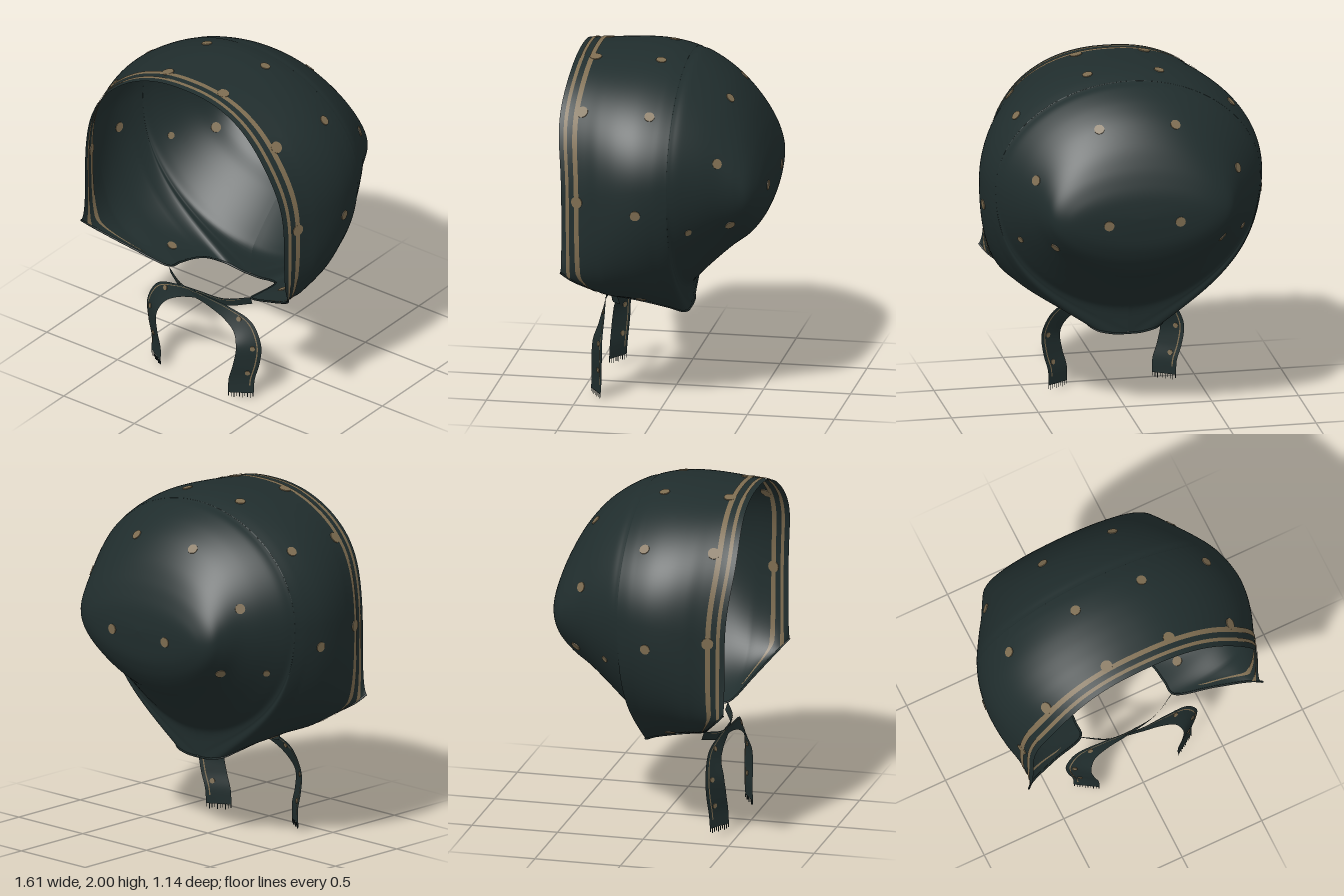
import * as THREE from 'three';

const cloth = new THREE.MeshStandardMaterial({ color: 0x202d2d, side: THREE.DoubleSide });
cloth.name = 'dark green cloth';
const gold = new THREE.MeshStandardMaterial({ color: 0x7d6c50, side: THREE.DoubleSide });
gold.name = 'dull gold print';

// Hood sections, front to back: z, half width, widest height, top, hem x, hem y, rise beside the hem
const ROWS = [
  [0.53, 0.705, 1.2, 1.98, 0.735, 0.85, 0.03],
  [0.47, 0.722, 1.22, 1.985, 0.67, 0.785, 0.02],
  [0.38, 0.75, 1.27, 1.99, 0.49, 0.685, 0.04],
  [0.3, 0.778, 1.3, 1.995, 0.3, 0.6, 0.08],
  [0.2, 0.8, 1.33, 2.0, 0.28, 0.58, 0.1],
  [0.1, 0.805, 1.35, 2.0, 0.27, 0.56, 0.11],
  [0, 0.79, 1.36, 1.99, 0.24, 0.53, 0.15],
  [-0.075, 0.766, 1.37, 1.97, 0.16, 0.485, 0.22],
  [-0.085, 0.762, 1.37, 1.965, 0, 0.475, 0.21],
  [-0.1, 0.755, 1.37, 1.96, 0, 0.61, 0.04],
  [-0.15, 0.73, 1.37, 1.945, 0, 0.68, 0],
  [-0.25, 0.67, 1.36, 1.89, 0, 0.78, 0],
  [-0.35, 0.605, 1.35, 1.81, 0, 0.87, 0],
  [-0.44, 0.555, 1.33, 1.7, 0, 0.94, 0],
  [-0.5, 0.515, 1.31, 1.59, 0, 1.015, 0],
  [-0.535, 0.45, 1.3, 1.5, 0, 1.08, 0],
  [-0.555, 0.36, 1.3, 1.43, 0, 1.14, 0],
  [-0.565, 0.2, 1.3, 1.36, 0, 1.22, 0],
  [-0.57, 0, 1.3, 1.3, 0, 1.3, 0],
];
const LAST = ROWS.length - 1;

function section(u) {
  const i = Math.min(Math.floor(u), LAST - 1), t = u - i;
  const row = (k) => ROWS[Math.max(0, Math.min(LAST, k))];
  return ROWS[0].map((_, c) => {
    const [a, b, d, e] = [row(i - 1)[c], row(i)[c], row(i + 1)[c], row(i + 2)[c]];
    const m = (d - a) / 2, n = (e - b) / 2;
    return b + m * t + (3 * (d - b) - 2 * m - n) * t * t + (2 * (b - d) + m + n) * t * t * t;
  });
}

// Point on the hood: u runs front to back, v from the left hem over the top to the right hem
function hood(u, v) {
  const [z, w, yc, top, hemX, ey, rise] = section(u);
  const ex = Math.max(0, hemX);
  const s = 1 - Math.abs(2 * v - 1), side = v < 0.5 ? 1 : -1;
  let x, y;
  if (s < 0.45) {
    // Wall turning under to the hem, fuller towards the front
    const t = s / 0.45, q = 1 - t;
    const full = THREE.MathUtils.clamp(z / 0.3, 0, 1);
    const bez = (a, b, c, d) => q * q * q * a + 3 * q * q * t * b + 3 * q * t * t * c + t * t * t * d;
    x = bez(ex, ex + (0.5 + 0.2 * full) * (w - ex), w, w);
    y = bez(ey, ey + rise, yc - (0.55 + 0.2 * full) * (yc - ey), yc);
  } else {
    const a = ((s - 0.45) / 0.55) * Math.PI / 2;
    const p = 2 / (2 + 0.3 * Math.max(0, z / 0.53));
    x = w * Math.pow(Math.max(0, Math.cos(a)), p);
    y = yc + (top - yc) * Math.pow(Math.sin(a), p);
  }
  const bulge = 0.035 * Math.exp(-(((y - 1.72) / 0.25) ** 2)) * Math.max(0, z / 0.53);
  return new THREE.Vector3(side * x, y, z + bulge);
}

// Surface normal of any two-parameter function
function normalOf(fn, a, b, e) {
  const da = fn(a + e, b).sub(fn(a - e, b)), db = fn(a, b + e).sub(fn(a, b - e));
  return da.cross(db).normalize();
}
const hoodNormal = (u, v) => normalOf(hood, THREE.MathUtils.clamp(u, 0.01, LAST - 0.01), v, 0.004);

// Smooth sheet from a function of (a, b), both 0 to 1
function sheet(fn, na, nb) {
  const pos = [], idx = [];
  for (let i = 0; i <= na; i++) for (let j = 0; j <= nb; j++) pos.push(...fn(i / na, j / nb).toArray());
  for (let i = 0; i < na; i++) for (let j = 0; j < nb; j++) {
    const p = i * (nb + 1) + j, q = p + nb + 1;
    idx.push(p, q, p + 1, q, q + 1, p + 1);
  }
  const g = new THREE.BufferGeometry();
  g.setAttribute('position', new THREE.Float32BufferAttribute(pos, 3));
  g.setIndex(idx);
  g.computeVertexNormals();
  return g;
}

export function createModel() {
  const model = new THREE.Group();
  model.name = 'bonnet';
  const add = (name, geo, mat) => {
    const m = new THREE.Mesh(geo, mat);
    m.name = name;
    model.add(m);
    return m;
  };
  const lerp = THREE.MathUtils.lerp;

  add('hood', sheet((a, b) => hood(a * LAST, b), LAST * 6, 140), cloth);

  // Piping along the lower edge and around the neck
  const edge = [];
  for (let u = 0; u < 8; u += 0.25) edge.push(hood(u, 0));
  const loop = edge.concat(edge.slice().reverse().map((p) => new THREE.Vector3(-p.x, p.y, p.z)));
  add('hemPiping', new THREE.TubeGeometry(new THREE.CatmullRomCurve3(loop), 160, 0.006, 6), cloth);

  // Printed bands on both faces of the cloth; bend sweeps the ends back along the hem
  const band = (name, u0, u1, margin, bend) => {
    for (const off of [0.004, -0.004]) {
      add(name, sheet((a, b) => {
        const v = lerp(margin, 1 - margin, b), s = 1 - Math.abs(2 * v - 1);
        const u = lerp(u0, u1, a) + bend * Math.max(0, 1 - s / 0.2) ** 2;
        return hood(u, v).addScaledVector(hoodNormal(u, v), off);
      }, 2, 160), gold);
    }
  };
  band('outerBand', 0.56, 0.84, 0.015, 0);
  band('innerBand', 1.23, 1.53, 0.025, 2.2);

  // Dots, each a thin disc seen from inside and outside
  const dot = (p, n, r) => {
    const d = add('dot', new THREE.CylinderGeometry(r, r, 0.009, 16), gold);
    d.position.copy(p);
    d.quaternion.setFromUnitVectors(new THREE.Vector3(0, 1, 0), n);
  };
  const spots = [
    [0.22, 1.81, -0.37], [0.21, 1.27, -0.57], [0.59, 1.5, -0.34], [0.5, 1.1, -0.41],
    [0.67, 1.09, -0.2, 0.02], [0.65, 1.78, 0.03], [0.21, 2.0, 0.045], [0.8, 1.23, 0.09],
    [0.2, 1.99, 0.425, 0.034], [0.59, 1.77, 0.435, 0.034], [0.72, 1.26, 0.43, 0.034], [0.38, 0.64, 0.13, 0.028],
  ];
  for (const [x, y, z, r = 0.029] of spots) {
    const target = new THREE.Vector3(x, y, z);
    let best = 9, bu = 0, bv = 0;
    for (let u = 0.1; u < LAST - 0.05; u += 0.1) for (let v = 0.01; v < 0.5; v += 0.005) {
      const d = hood(u, v).distanceTo(target);
      if (d < best) [best, bu, bv] = [d, u, v];
    }
    for (const v of [bv, 1 - bv]) dot(hood(bu, v), hoodNormal(bu, v), r);
  }

  // Crossed ties: centre line and half-width vectors
  const V = (p) => new THREE.Vector3(...p);
  const path = new THREE.CatmullRomCurve3([
    [-0.285, 0.57, 0.28], [-0.15, 0.54, 0.345], [0.03, 0.54, 0.375], [0.18, 0.505, 0.37], [0.295, 0.445, 0.365],
    [0.347, 0.34, 0.378], [0.335, 0.22, 0.385], [0.308, 0.12, 0.39], [0.305, 0.03, 0.395]].map(V));
  const half = new THREE.CatmullRomCurve3([
    [0, 0.025, 0.008], [0.005, 0.025, 0.008], [0.01, 0.025, 0], [0.02, 0.032, -0.012], [0.045, 0.034, -0.026],
    [0.061, 0.01, -0.038], [0.062, 0, -0.041], [0.062, 0, -0.04], [0.062, 0, -0.039]].map(V));
  for (const side of [1, -1]) {
    const name = side > 0 ? 'left' : 'right';
    const tie = (t, w) => {
      const k = THREE.MathUtils.clamp(t, 0, 1);
      const p = path.getPoint(k).addScaledVector(half.getPoint(k), w);
      return new THREE.Vector3(p.x * side, p.y + (side < 0 ? 0.02 * k : 0), p.z + (side > 0 ? 0.012 : 0));
    };
    const tieNormal = (t, w) => normalOf(tie, THREE.MathUtils.clamp(t, 0.01, 0.99), w, 0.005);
    add(name + 'Tie', sheet((a, b) => tie(a, b * 2 - 1), 60, 4), cloth);
    for (const off of [0.003, -0.003]) {
      add(name + 'TieStripe', sheet((a, b) => {
        const t = 0.05 + a * 0.88, w = 0.62 + b * 0.1;
        return tie(t, w).addScaledVector(tieNormal(t, w), off);
      }, 60, 1), gold);
    }
    for (const t of [0.45, 0.64, 0.82]) dot(tie(t, 0.3), tieNormal(t, 0.3), 0.015);

    // Frayed threads at the cut end
    for (let i = 0; i < 10; i++) {
      const len = 0.02 + 0.01 * ((i * 7) % 3) / 2;
      const p = tie(1, -0.95 + (i * 1.9) / 9);
      add(name + 'Fringe', new THREE.BoxGeometry(0.003, len, 0.003), cloth).position.set(p.x, p.y - len / 2, p.z);
    }
  }
  return model;
}
